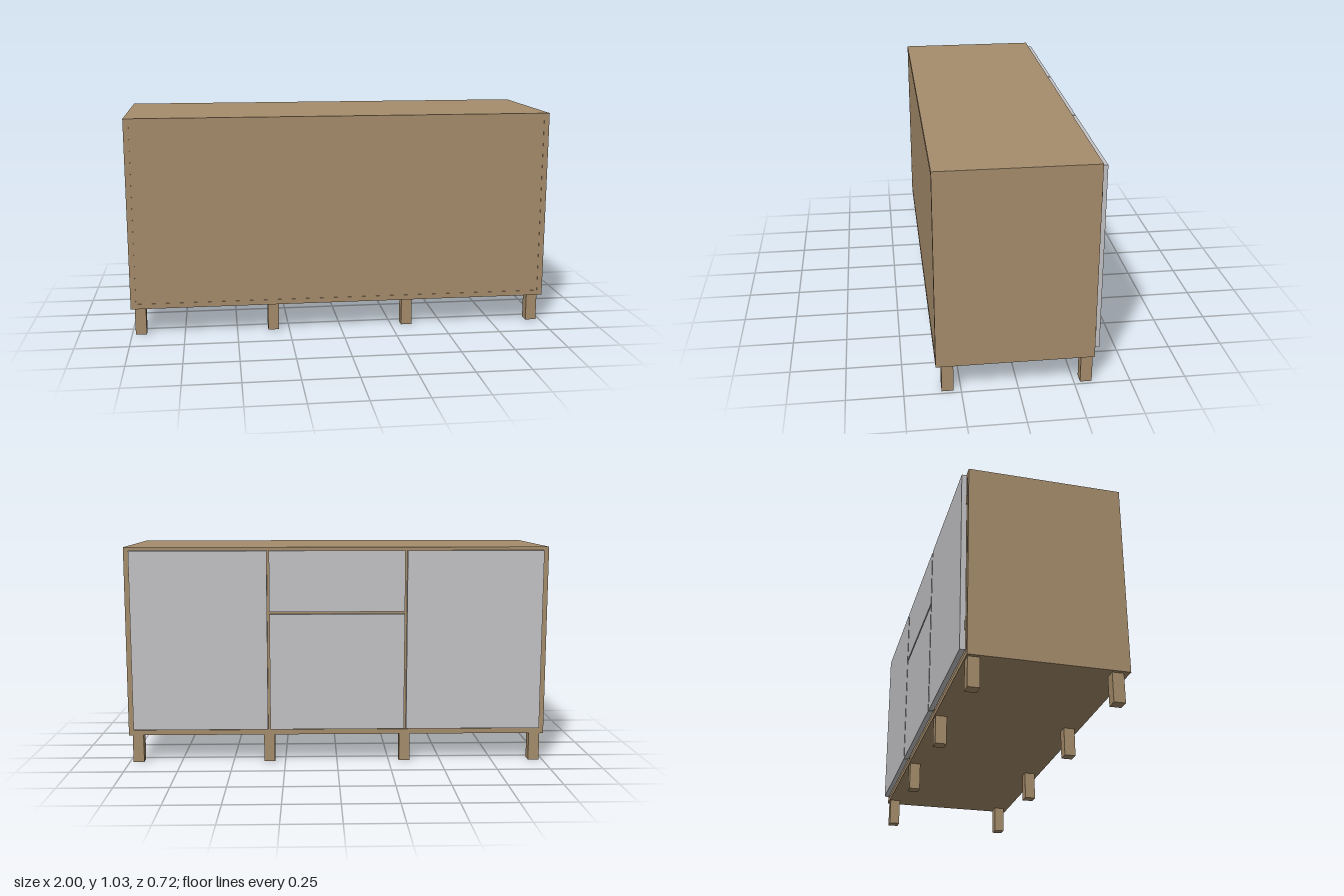
import * as THREE from 'three';

export function createModel() {
  const group = new THREE.Group();
  group.name = 'sideboard';
  const wood = new THREE.MeshStandardMaterial({ color: 0xa68d6c });
  wood.name = 'wood';
  const grey = new THREE.MeshStandardMaterial({ color: 0xc4c4c6 });
  grey.name = 'grey lacquer';

  // Box given by its extents on each axis
  function box(name, material, [x0, x1], [y0, y1], [z0, z1]) {
    const mesh = new THREE.Mesh(new THREE.BoxGeometry(x1 - x0, y1 - y0, z1 - z0), material);
    mesh.position.set((x0 + x1) / 2, (y0 + y1) / 2, (z0 + z1) / 2);
    mesh.name = name;
    group.add(mesh);
  }

  const depth = [-0.335, 0.36];
  const inner = [0.158, 1.01];

  // Carcass
  box('topPanel', wood, [-1, 1], [1.01, 1.034], depth);
  box('bottomPanel', wood, [-1, 1], [0.134, 0.158], depth);
  box('rearBoard', wood, [-0.975, 0.975], inner, [0.345, 0.358]);
  for (const s of [-1, 1]) {
    box('sidePanel', wood, [s * 0.9875 - 0.0125, s * 0.9875 + 0.0125], inner, depth);
    box('divider', wood, [s * 0.325 - 0.012, s * 0.325 + 0.012], inner, [-0.333, 0.345]);
  }
  box('drawerRail', wood, [-0.313, 0.313], [0.713, 0.737], [-0.333, 0.345]);

  // Doors and the centre drawer front
  const front = [-0.36, -0.336];
  const full = [0.165, 1.018];
  box('rightDoor', grey, [-0.973, -0.331], full, front);
  box('leftDoor', grey, [0.331, 0.973], full, front);
  box('centreDoor', grey, [-0.32, 0.32], [0.165, 0.719], front);
  box('drawerFront', grey, [-0.32, 0.32], [0.731, 1.018], front);

  // Hinge plates beside the outer doors
  for (const s of [-1, 1]) {
    for (const y of [0.274, 0.885]) {
      box('hinge', wood, [s * 0.977 - 0.003, s * 0.977 + 0.003], [y - 0.021, y + 0.021], [-0.341, -0.3]);
    }
  }

  // Two rows of four square legs
  for (const x of [-0.957, -0.326, 0.326, 0.957]) {
    for (const z of [-0.304, 0.309]) {
      box('leg', wood, [x - 0.026, x + 0.026], [0, 0.134], [z - 0.026, z + 0.026]);
    }
  }
  return group;
}
